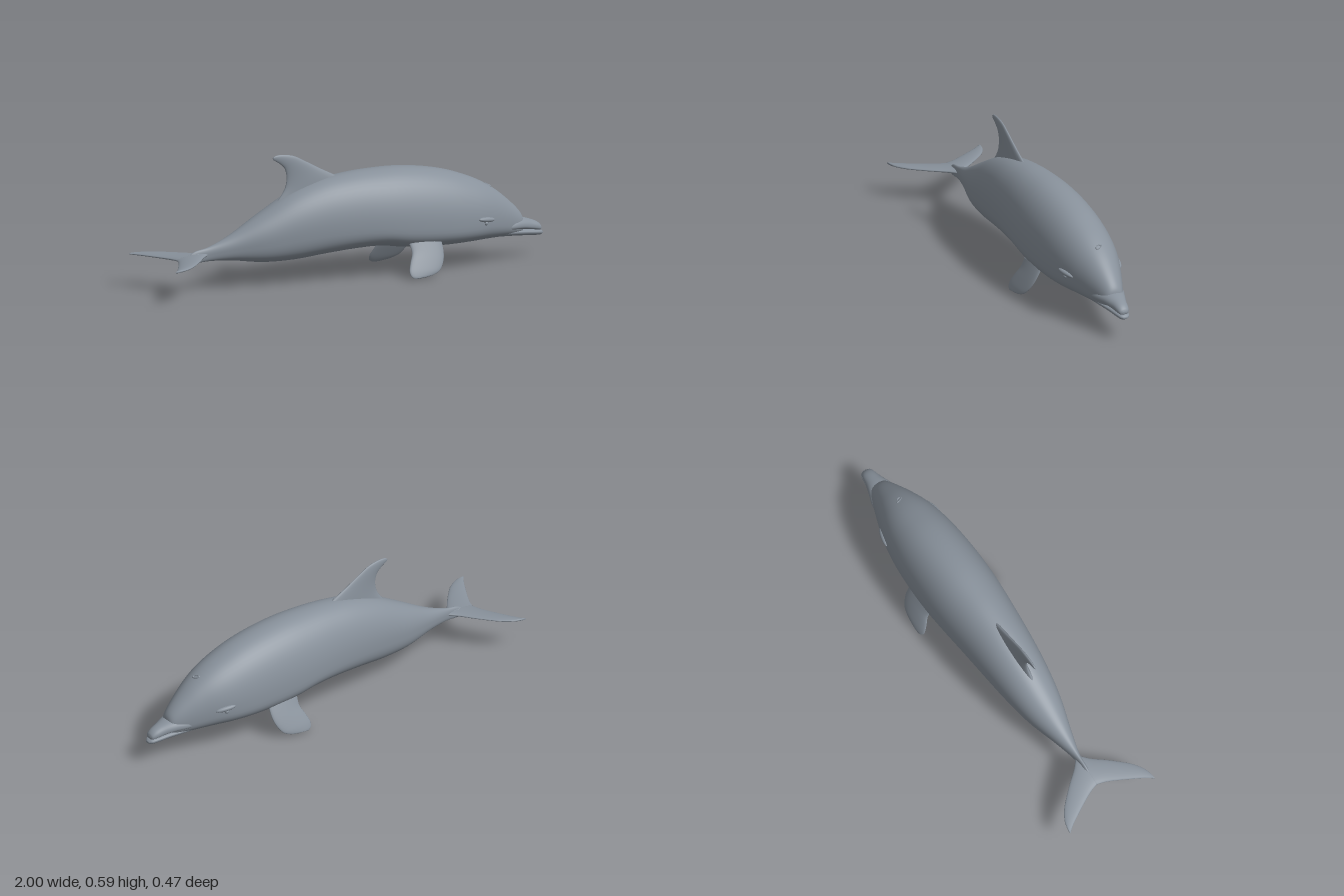
import * as THREE from 'three';

const skin = new THREE.MeshStandardMaterial({ color: 0x88919b });
skin.name = 'grey skin';
const V = (x, y, z) => new THREE.Vector3(x, y, z);

// Closed smooth skin through rings of points, capped at both ends
function loft(rings) {
  const n = rings[0].length, m = rings.length, pts = rings.flat(), idx = [];
  for (let i = 0; i < m - 1; i++) {
    for (let j = 0; j < n; j++) {
      const k = (j + 1) % n, a = i * n + j, b = i * n + k;
      idx.push(a, a + n, b, b, a + n, b + n);
    }
  }
  const centre = r => r.reduce((s, p) => s.add(p), V(0, 0, 0)).divideScalar(n);
  pts.push(centre(rings[0]), centre(rings[m - 1]));
  for (let j = 0; j < n; j++) {
    const k = (j + 1) % n;
    idx.push(m * n, j, k, m * n + 1, (m - 1) * n + k, (m - 1) * n + j);
  }
  // Turn the faces outward if the enclosed volume is negative
  let vol = 0;
  for (let i = 0; i < idx.length; i += 3)
    vol += pts[idx[i]].dot(pts[idx[i + 1]].clone().cross(pts[idx[i + 2]]));
  if (vol < 0) idx.reverse();
  const g = new THREE.BufferGeometry().setFromPoints(pts);
  g.setIndex(idx);
  g.computeVertexNormals();
  return g;
}

const spline = pts => new THREE.CatmullRomCurve3(pts, false, 'catmullrom', 0.5);

// Body-like form; stations are [x, top, bottom, half width, height fraction of widest line]
function hull(stations, steps, sides, low = 2.8) {
  const heights = spline(stations.map(s => V(s[0], s[1], s[2])));
  const widths = spline(stations.map(s => V(s[0], s[3], s[4])));
  const rings = [];
  for (let i = 0; i <= steps; i++) {
    const { x, y: top, z: bottom } = heights.getPoint(i / steps);
    const { y: w, z: f } = widths.getPoint(i / steps);
    const mid = bottom + (top - bottom) * f;
    rings.push(Array.from({ length: sides }, (_, j) => {
      const a = j / sides * Math.PI * 2, s = Math.sin(a), c = Math.cos(a);
      const e = 2 / (s >= 0 ? 2.1 : low);
      const y = mid + (s >= 0 ? top - mid : bottom - mid) * Math.abs(s) ** e;
      return V(x, y, w * Math.sign(c) * Math.abs(c) ** e);
    }));
  }
  return loft(rings);
}

// Fin; stations are [leading point, trailing point, half thickness]
function fin(stations, normal, steps = 28, sides = 24) {
  const lead = spline(stations.map(s => s[0]));
  const trail = spline(stations.map(s => s[1]));
  const thick = spline(stations.map(s => V(s[2], 0, 0)));
  const rings = [];
  for (let i = 0; i <= steps; i++) {
    const t = i / steps, L = lead.getPoint(t), T = trail.getPoint(t), h = thick.getPoint(t).x;
    const mid = L.clone().add(T).multiplyScalar(0.5), half = L.clone().sub(mid);
    rings.push(Array.from({ length: sides }, (_, j) => {
      const a = j / sides * Math.PI * 2;
      return mid.clone().addScaledVector(half, Math.cos(a)).addScaledVector(normal, Math.sin(a) * h);
    }));
  }
  return loft(rings);
}

export function createModel() {
  const model = new THREE.Group();
  model.name = 'dolphin';
  const add = (name, geometry) => {
    const mesh = new THREE.Mesh(geometry, skin);
    mesh.name = name;
    model.add(mesh);
    return mesh;
  };

  // Body from tail stock to forehead
  add('body', hull([
    [-0.82, 0.165, 0.140, 0.006, 0.5],
    [-0.78, 0.190, 0.135, 0.010, 0.5],
    [-0.71, 0.205, 0.140, 0.016, 0.5],
    [-0.60, 0.250, 0.135, 0.046, 0.48],
    [-0.45, 0.335, 0.115, 0.091, 0.45],
    [-0.30, 0.415, 0.114, 0.119, 0.42],
    [-0.15, 0.465, 0.128, 0.138, 0.37],
    [0.00, 0.488, 0.140, 0.153, 0.32],
    [0.13, 0.495, 0.143, 0.165, 0.28],
    [0.25, 0.494, 0.126, 0.171, 0.28],
    [0.38, 0.480, 0.117, 0.170, 0.28],
    [0.50, 0.455, 0.115, 0.162, 0.28],
    [0.60, 0.421, 0.117, 0.147, 0.30],
    [0.68, 0.385, 0.119, 0.126, 0.34],
    [0.75, 0.342, 0.119, 0.101, 0.36],
    [0.81, 0.294, 0.119, 0.077, 0.38],
    [0.86, 0.247, 0.121, 0.055, 0.40],
    [0.885, 0.215, 0.125, 0.038, 0.45],
    [0.894, 0.185, 0.140, 0.015, 0.5],
  ], 90, 56));

  // Beak and lower jaw, meeting at the mouth line
  add('upperBeak', hull([
    [0.74, 0.195, 0.145, 0.085, 0.4],
    [0.82, 0.203, 0.146, 0.076, 0.35],
    [0.88, 0.198, 0.143, 0.056, 0.35],
    [0.93, 0.184, 0.136, 0.039, 0.35],
    [0.965, 0.170, 0.130, 0.031, 0.38],
    [0.984, 0.156, 0.128, 0.023, 0.4],
    [0.991, 0.143, 0.132, 0.010, 0.5],
  ], 36, 32));
  add('lowerJaw', hull([
    [0.70, 0.170, 0.120, 0.085, 0.6],
    [0.82, 0.153, 0.115, 0.062, 0.6],
    [0.90, 0.142, 0.109, 0.042, 0.6],
    [0.95, 0.135, 0.105, 0.033, 0.6],
    [0.985, 0.129, 0.104, 0.025, 0.6],
    [1.00, 0.120, 0.110, 0.010, 0.5],
  ], 30, 32, 2.2));

  // Swept-back dorsal fin
  add('dorsalFin', fin([
    [V(-0.02, 0.46, 0), V(-0.38, 0.36, 0), 0.022],
    [V(-0.08, 0.49, 0), V(-0.325, 0.43, 0), 0.018],
    [V(-0.15, 0.525, 0), V(-0.31, 0.485, 0), 0.014],
    [V(-0.22, 0.563, 0), V(-0.318, 0.53, 0), 0.011],
    [V(-0.27, 0.588, 0), V(-0.34, 0.555, 0), 0.009],
    [V(-0.32, 0.599, 0), V(-0.362, 0.57, 0), 0.007],
    [V(-0.36, 0.599, 0), V(-0.375, 0.578, 0), 0.005],
    [V(-0.377, 0.592, 0), V(-0.38, 0.585, 0), 0.003],
  ], V(0, 0, 1)));

  for (const side of [1, -1]) {
    const label = side > 0 ? 'front' : 'back';

    // Tail fluke: [z, leading x, trailing x, half thickness]
    add(label + 'Fluke', fin([
      [-0.01, -0.69, -0.87, 0.014], [0.04, -0.75, -0.885, 0.012],
      [0.10, -0.80, -0.915, 0.010], [0.15, -0.845, -0.943, 0.009],
      [0.19, -0.885, -0.966, 0.008], [0.22, -0.93, -0.987, 0.006],
      [0.232, -0.965, -0.997, 0.005], [0.235, -0.985, -0.998, 0.003],
    ].map(([z, lx, tx, h]) => [
      V(lx, 0.157 + (lx + 1) * 0.05, z * side), V(tx, 0.157, z * side), h,
    ]), V(0, 1, 0)));

    // Flipper slanting down and outward: [lead x, lead y, trail x, trail y, half thickness]
    const onPlane = (x, y) => V(x, y, (0.14 + (0.16 - y) * 0.52) * side);
    add(label + 'Flipper', fin([
      [0.410, 0.180, 0.248, 0.155, 0.014], [0.412, 0.120, 0.250, 0.115, 0.013],
      [0.402, 0.075, 0.231, 0.075, 0.012], [0.376, 0.036, 0.218, 0.040, 0.010],
      [0.340, 0.018, 0.223, 0.017, 0.007], [0.300, 0.010, 0.240, 0.006, 0.004],
    ].map(([lx, ly, tx, ty, h]) => [onPlane(lx, ly), onPlane(tx, ty), h]),
    V(0, 0.46, 0.89 * side)));

    // Brow ridge and eye
    const brow = add(label + 'Brow', new THREE.SphereGeometry(1, 24, 16));
    brow.scale.set(0.05, 0.012, 0.014);
    brow.position.set(0.65, 0.228, 0.132 * side);
    brow.rotation.set(0, 0.28 * side, -0.12, 'YXZ');
    const eye = add(label + 'Eye', new THREE.SphereGeometry(0.011, 16, 12));
    eye.position.set(0.645, 0.212, 0.132 * side);
  }

  // Blowhole rim on the crown
  const rim = add('blowhole', new THREE.TorusGeometry(0.013, 0.004, 10, 28));
  rim.scale.set(0.6, 1.2, 1);
  rim.position.set(0.72, 0.361, 0);
  rim.rotation.set(Math.PI / 2, 0.58, Math.PI / 2, 'ZYX');
  rim.quaternion.setFromUnitVectors(V(0, 0, 1), V(0.5, 0.866, 0));
  return model;
}
